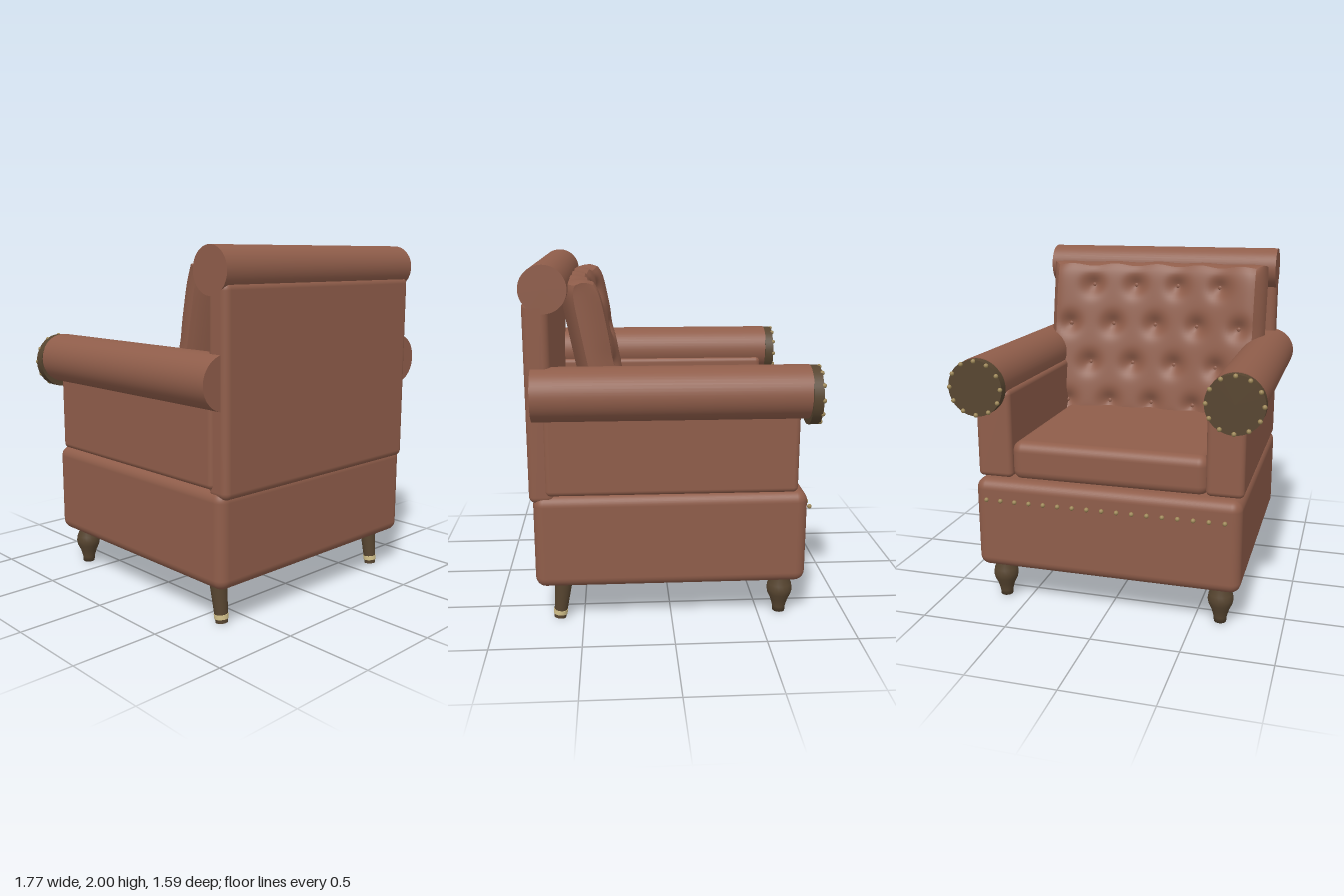
import * as THREE from 'three';
import { RoundedBoxGeometry } from 'three/addons/geometries/RoundedBoxGeometry.js';

const leather = new THREE.MeshStandardMaterial({ color: 0x8f5d4a });
const wood = new THREE.MeshStandardMaterial({ color: 0x574530 });
const brass = new THREE.MeshStandardMaterial({ color: 0x9c8656 });
const paleBrass = new THREE.MeshStandardMaterial({ color: 0xd2c08a });

export function createModel() {
  const group = new THREE.Group();

  function add(name, geometry, material, x = 0, y = 0, z = 0) {
    const mesh = new THREE.Mesh(geometry, material);
    mesh.name = name;
    mesh.position.set(x, y, z);
    group.add(mesh);
    return mesh;
  }

  // Rounded box given by its limits on each axis
  function pad(name, [x0, x1], [y0, y1], [z0, z1], radius) {
    const geometry = new RoundedBoxGeometry(x1 - x0, y1 - y0, z1 - z0, 5, radius);
    return add(name, geometry, leather, (x0 + x1) / 2, (y0 + y1) / 2, (z0 + z1) / 2);
  }

  const studGeometry = new THREE.SphereGeometry(0.013, 12, 8);
  const stud = (name, x, y, z) => add(name, studGeometry, brass, x, y, z);

  // Body
  pad('base', [-0.77, 0.77], [0.23, 0.765], [-0.75, 0.76], 0.06);
  pad('seatCushion', [-0.57, 0.57], [0.75, 0.98], [-0.68, 0.6], 0.06);
  pad('backPanel', [-0.755, 0.755], [0.72, 1.82], [0.64, 0.78], 0.04);
  add('headRoll', new THREE.CylinderGeometry(0.125, 0.125, 1.51, 48).rotateZ(Math.PI / 2),
    leather, 0, 1.875, 0.667);

  // Tufted back cushion with staggered buttons
  const tufts = [];
  [1.76, 1.51, 1.26, 1.01].forEach((y, row) => {
    const count = row % 2 ? 5 : 4;
    for (let i = 0; i < count; i++) tufts.push([(i - (count - 1) / 2) * 0.28, y]);
  });

  // Front surface: leans back and wraps forward at the sides
  function cushionFront(x, y) {
    return 0.27 + 0.18 * (y - 1) / 0.9 - 0.085 * (x / 0.65) ** 2;
  }
  function dimple(x, y) {
    let depth = 0;
    for (const [tx, ty] of tufts) {
      const d = Math.hypot(x - tx, y - ty);
      depth += 0.04 * Math.exp(-((d / 0.06) ** 2)) + 0.012 * Math.exp(-d / 0.05);
    }
    return depth;
  }
  const cushion = new RoundedBoxGeometry(1, 1, 1, 1, 0.01);
  cushion.dispose();
  const tufted = new THREE.BoxGeometry(1.3, 0.98, 1, 72, 56, 8);
  const p = tufted.attributes.position;
  for (let i = 0; i < p.count; i++) {
    const x = p.getX(i), t = p.getZ(i) + 0.5; // t: 0 front, 1 back
    const u = x / 0.65, v = p.getY(i) / 0.49;
    const y = 1.4 + p.getY(i);
    const edge = 0.025 * (Math.abs(u) ** 14 + Math.abs(v) ** 14);
    const side = Math.sin(Math.PI * t);
    const front = cushionFront(x, y) + (1 - t) * (dimple(x, y) + edge);
    p.setXYZ(i,
      x * (1 + 0.1 * t) + 0.012 * side * u,
      y + 0.015 * side * v + 0.008 * Math.cos(x * 22.4) * (1 - t) * Math.max(v, 0) ** 4,
      front + t * (0.19 - edge));
  }
  tufted.computeVertexNormals();
  add('backCushion', tufted, leather);
  for (const [x, y] of tufts) {
    const button = add('tuftButton', new THREE.SphereGeometry(0.014, 12, 8), leather,
      x, y, cushionFront(x, y) + 0.05);
    button.scale.z = 0.5;
  }

  for (const s of [-1, 1]) {
    // Arm: padded side, roll, wooden end disc ringed with studs
    pad('armSide', s > 0 ? [0.56, 0.77] : [-0.77, -0.56], [0.765, 1.28], [-0.69, 0.69], 0.03);
    const roll = add('armRoll', new THREE.CylinderGeometry(1, 1, 1.475, 48).rotateX(Math.PI / 2),
      leather, s * 0.72, 1.323, 0.007);
    roll.scale.set(0.152, 0.146, 1);
    add('armDisc', new THREE.CylinderGeometry(0.16, 0.16, 0.055, 40).rotateX(Math.PI / 2),
      wood, s * 0.72, 1.305, -0.753);
    for (let i = 0; i < 12; i++) {
      const a = i * Math.PI / 6;
      stud('armStud', s * 0.72 + 0.152 * Math.cos(a), 1.305 + 0.152 * Math.sin(a), -0.782);
    }

    // Turned front leg
    const profile = [[0, 0.01], [0.035, 0.01], [0.037, 0.04], [0.05, 0.085], [0.067, 0.12],
      [0.073, 0.15], [0.068, 0.18], [0.056, 0.21], [0.053, 0.25]]
      .map(([r, y]) => new THREE.Vector2(r, y));
    add('frontLeg', new THREE.LatheGeometry(profile, 24), wood, s * 0.65, 0, -0.625);

    // Splayed back leg with a brass band
    const leg = new THREE.Group();
    leg.name = 'backLeg';
    const shaft = new THREE.Mesh(new THREE.CylinderGeometry(0.05, 0.034, 0.24, 24), wood);
    shaft.name = 'backLegShaft';
    shaft.position.y = 0.12;
    const band = new THREE.Mesh(new THREE.CylinderGeometry(0.04, 0.039, 0.026, 24), paleBrass);
    band.name = 'backLegBand';
    band.position.y = 0.035;
    leg.add(shaft, band);
    leg.position.set(s * 0.65, 0.005, 0.637);
    leg.rotation.x = -0.12;
    group.add(leg);
  }

  // Row of studs along the front of the base
  for (let i = -8; i <= 8; i++) stud('baseStud', i * 0.0857, 0.655, -0.773);

  return group;
}
